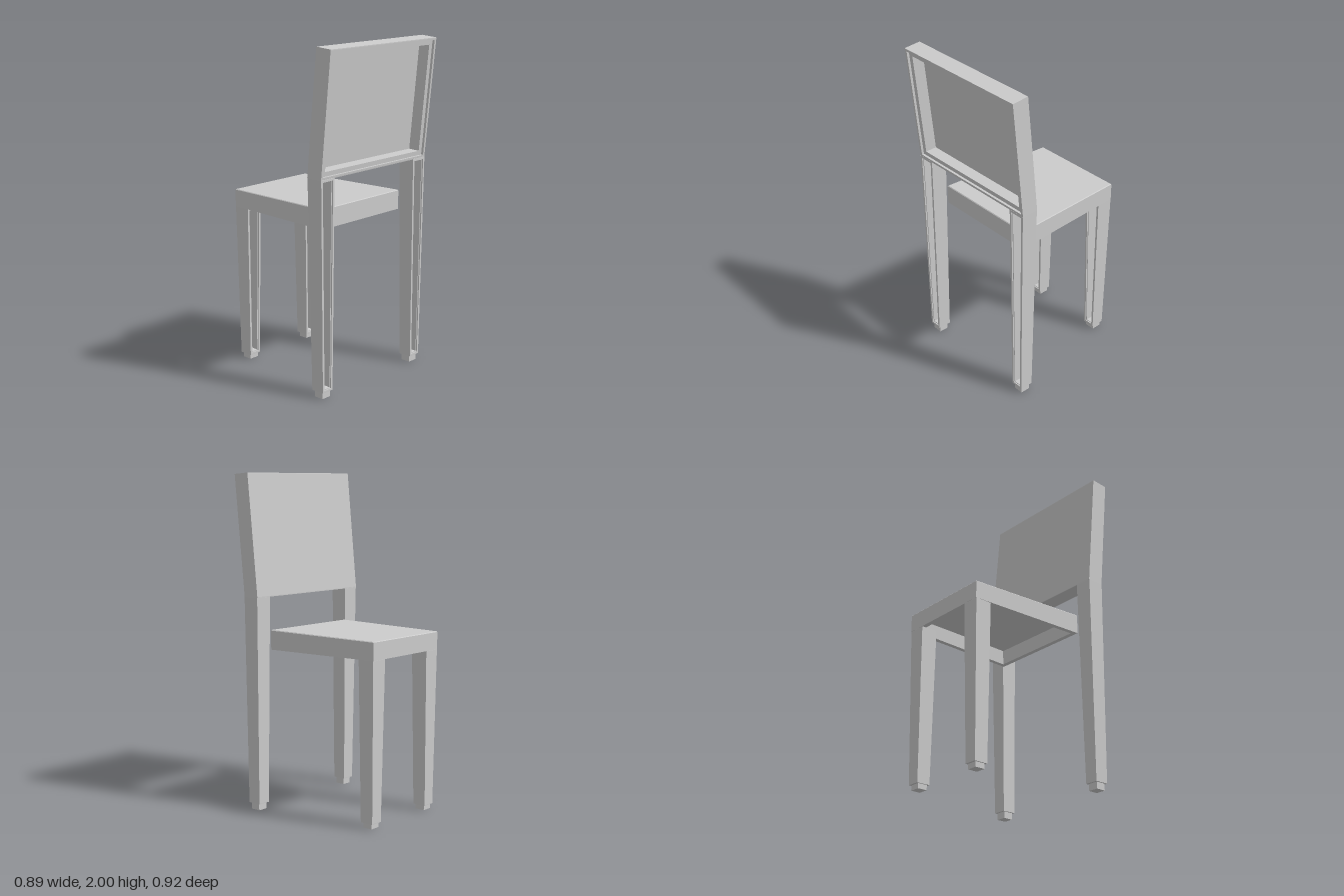
import * as THREE from 'three';

const material = new THREE.MeshStandardMaterial({ color: 0xcccccc });
const lerp = (a, b, t) => a + (b - a) * t;

// Skin a stack of four-cornered rings, closing the first and the last one
function loft(name, rings) {
  const pos = [];
  const quad = (a, b, c, d) => [a, b, c, a, c, d].forEach((p) => pos.push(...p));
  const first = rings[0], last = rings[rings.length - 1];
  quad(first[3], first[2], first[1], first[0]);
  for (let r = 0; r < rings.length - 1; r++) {
    const a = rings[r], b = rings[r + 1];
    for (let i = 0; i < 4; i++) {
      const j = (i + 1) % 4;
      quad(a[i], a[j], b[j], b[i]);
    }
  }
  quad(...last);
  const geometry = new THREE.BufferGeometry();
  geometry.setAttribute('position', new THREE.Float32BufferAttribute(pos, 3));
  geometry.computeVertexNormals();
  const mesh = new THREE.Mesh(geometry, material);
  mesh.name = name;
  return mesh;
}

// Shell section as [inset, depth]: bevelled face, rim, small rabbet, cavity floor
const shell = (wall, ledge, floor, bevel, step) => [
  [bevel, 0], [0, bevel], [0, 1 - bevel], [bevel, 1],
  [wall, 1], [wall, 1 - step], [ledge, 1 - step], [ledge + 0.004, floor],
];

// Tapered leg, hollow towards +z; bottom and top are { y, x: [inner, outer], z: [closed, open] }
function leg(name, side, bottom, top) {
  const rings = shell(0.013, 0.018, 0.2, 0.004, 0.08).map(([inset, d]) => {
    const corner = (end, outer, dy) => {
      const x = side * (outer ? end.x[1] - inset : end.x[0] + inset);
      return [x, end.y + dy * inset, lerp(end.z[0], end.z[1], d)];
    };
    const right = side > 0;
    return [corner(bottom, !right, 1), corner(bottom, right, 1), corner(top, right, -1), corner(top, !right, -1)];
  });
  const group = new THREE.Group();
  group.name = name;
  group.add(loft(name + 'Post', rings));

  // Foot pad under the post
  const foot = new THREE.Mesh(new THREE.BoxGeometry(0.062, 0.042, 0.06), material);
  foot.name = name + 'Foot';
  foot.position.set(side * (bottom.x[0] + bottom.x[1]) / 2, 0.021, (bottom.z[0] + bottom.z[1]) / 2);
  group.add(foot);
  return group;
}

function backrest() {
  // Leaning tray whose open side faces +z
  const rings = shell(0.015, 0.042, 0.2, 0.005, 0.14).map(([inset, d]) => {
    const point = (sx, v) => {
      const h = v ? 1 - inset / 0.72 : inset / 0.72;
      return [sx * (0.447 - inset), 1.28 + 0.72 * h - 0.008 * d * h, 0.285 + 0.07 * h + 0.105 * d];
    };
    return [point(-1, 0), point(1, 0), point(1, 1), point(-1, 1)];
  });
  return loft('backrest', rings);
}

function seat() {
  // Trapezoid tray, hollow from below
  const rings = [[0.004, 0], [0, 0.04], [0, 1], [0.028, 1], [0.032, 0.25]].map(([inset, d]) => {
    const front = 0.3 - inset, rear = 0.333 - inset;
    const yFront = lerp(1.075, 0.968, d), yRear = lerp(1.083, 0.965, d);
    const zFront = -0.46 + inset, zRear = 0.288 - inset;
    return [[-front, yFront, zFront], [front, yFront, zFront], [rear, yRear, zRear], [-rear, yRear, zRear]];
  });
  return loft('seat', rings);
}

export function createModel() {
  const model = new THREE.Group();
  model.name = 'chair';
  model.add(backrest(), seat());

  // Mirrored pairs of legs
  for (const [label, side] of [['left', 1], ['right', -1]]) {
    model.add(leg(label + 'BackrestLeg', side,
      { y: 0.04, x: [0.35, 0.43], z: [0.303, 0.387] },
      { y: 1.283, x: [0.34, 0.447], z: [0.287, 0.391] }));
    model.add(leg(label + 'SeatLeg', side,
      { y: 0.03, x: [0.21, 0.288], z: [-0.446, -0.362] },
      { y: 0.97, x: [0.194, 0.3], z: [-0.459, -0.354] }));
  }
  return model;
}
